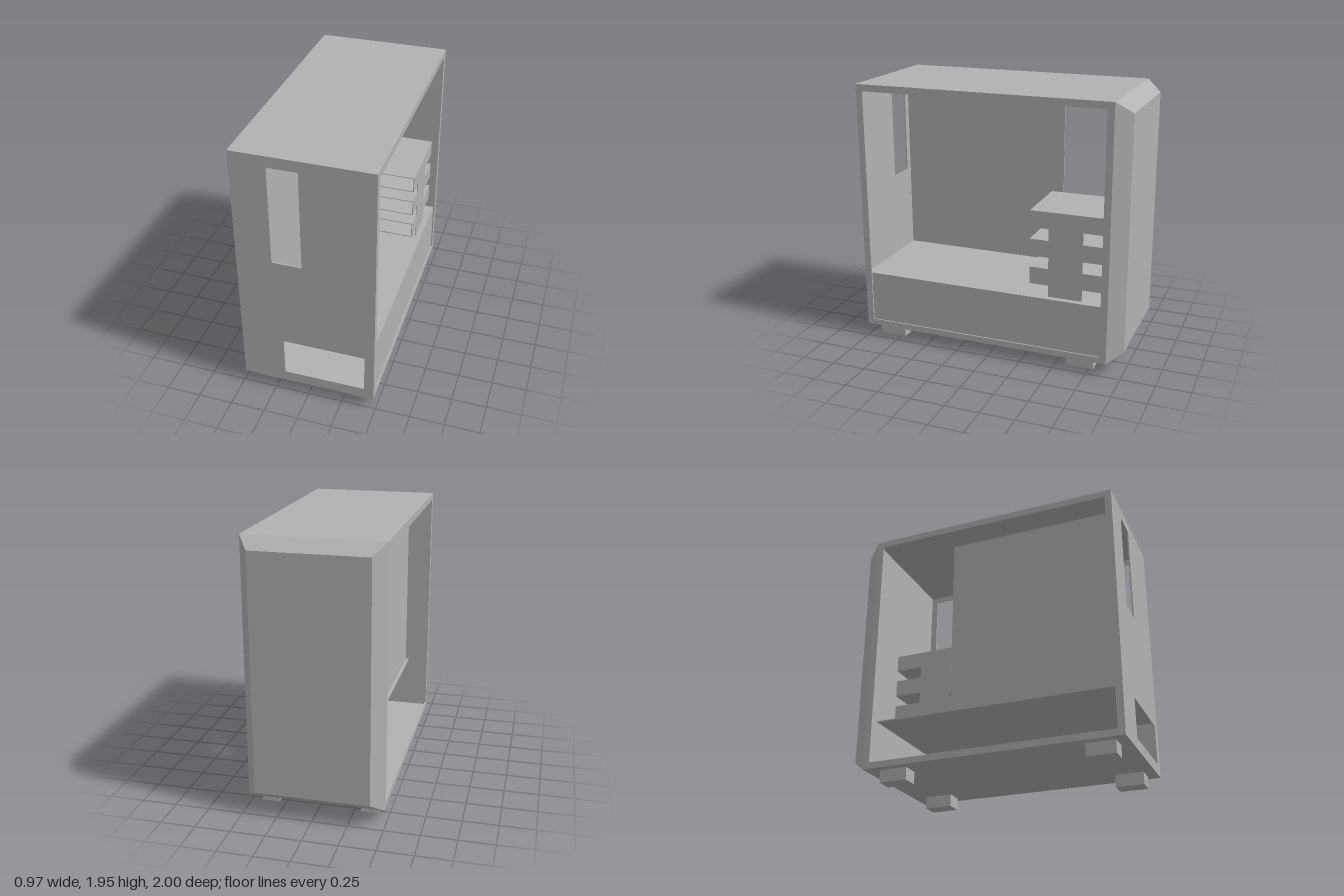
import * as THREE from 'three';

export function createModel() {
  const model = new THREE.Group();
  model.name = 'computerCase';
  const grey = new THREE.MeshStandardMaterial({ color: 0xb2b2b2 });
  grey.name = 'grey';

  const add = (name, geometry, parent = model) => {
    const mesh = new THREE.Mesh(geometry, grey);
    mesh.name = name;
    parent.add(mesh);
    return mesh;
  };
  // Box given by its lower and upper limits on each axis
  const block = (name, [x0, x1], [y0, y1], [z0, z1], parent) => {
    const mesh = add(name, new THREE.BoxGeometry(x1 - x0, y1 - y0, z1 - z0), parent);
    mesh.position.set((x0 + x1) / 2, (y0 + y1) / 2, (z0 + z1) / 2);
    return mesh;
  };
  const rect = (Type, x0, x1, y0, y1) => new Type([
    [x0, y0], [x1, y0], [x1, y1], [x0, y1],
  ].map(([x, y]) => new THREE.Vector2(x, y)));
  // Flat sheet with rectangular holes, extruded along +z
  const sheet = (outer, holes, depth) => {
    const shape = rect(THREE.Shape, ...outer);
    holes.forEach((h) => shape.holes.push(rect(THREE.Path, ...h)));
    return new THREE.ExtrudeGeometry(shape, { depth, bevelEnabled: false });
  };

  const W = 0.485, T = 0.01, LOW = 0.09, HIGH = 1.95, BACK = -0.89;
  const inner = W - T;

  // Outer shell of thin sheets
  block('topPanel', [-inner, inner], [HIGH - T, HIGH], [BACK, 1 - T]);
  block('bottomPanel', [-inner, inner], [LOW, LOW + T], [BACK, 1 - T]);
  add('frontPanel', sheet([-inner, inner, LOW, HIGH],
    [[-0.23, -0.02, 1.14, 1.87], [-0.175, 0.415, 0.17, 0.46]], T)).position.z = 1 - T;

  // Narrow lips round both open sides
  for (const x of [-W, inner]) {
    const lip = add(x < 0 ? 'rightSideLip' : 'leftSideLip',
      sheet([-1, -BACK, LOW, HIGH], [[-0.95, 0.84, 0.135, 1.9]], T));
    lip.rotation.y = Math.PI / 2;
    lip.position.x = x;
  }

  // Rear cover: a box tapered towards the back
  const cover = new THREE.BoxGeometry(2 * W, HIGH - LOW, 0.11).toNonIndexed();
  const p = cover.attributes.position;
  for (let i = 0; i < p.count; i++) {
    if (p.getZ(i) < 0) {
      p.setX(i, Math.sign(p.getX(i)) * 0.405);
      p.setY(i, Math.sign(p.getY(i)) * 0.85);
    }
  }
  cover.computeVertexNormals();
  add('rearCover', cover).position.set(0, (LOW + HIGH) / 2, BACK - 0.055);

  // Mounting tray and lower shroud
  block('mountingTray', [-0.295, -0.285], [0.51, 1.89], [-0.317, 1 - T]);
  block('shroudTop', [-0.32, 0.465], [0.5, 0.51], [BACK, 1 - T]);
  block('shroudSide', [0.455, 0.465], [LOW + T, 0.5], [BACK, 1 - T]);

  // Drive cage: three tubes open to the front, joined by side straps
  const cage = new THREE.Group();
  cage.name = 'driveCage';
  model.add(cage);
  const x0 = -0.07, x1 = 0.42, t = 0.006;
  const sides = [[x0, x0 + t], [x1 - t, x1]];
  const bays = [[0.595, 0.72], [0.805, 0.93], [1.017, 1.14]];
  let below = 0.51;
  for (const [y0, y1] of bays) {
    const z = [BACK, -0.295];
    block('bayFloor', [x0 + t, x1 - t], [y0, y0 + t], z, cage);
    block('bayRoof', [x0 + t, x1 - t], [y1 - t, y1], z, cage);
    for (const side of sides) {
      block('baySide', side, [y0, y1], z, cage);
      block('cageStrap', side, [below, y0], [-0.685, -0.435], cage);
    }
    below = y1;
  }

  // Feet
  for (const side of [-1, 1]) {
    for (const z of [0.818, -0.68]) {
      block('foot', [side * 0.36 - 0.062, side * 0.36 + 0.062], [0, LOW], [z - 0.103, z + 0.103]);
    }
  }
  return model;
}
